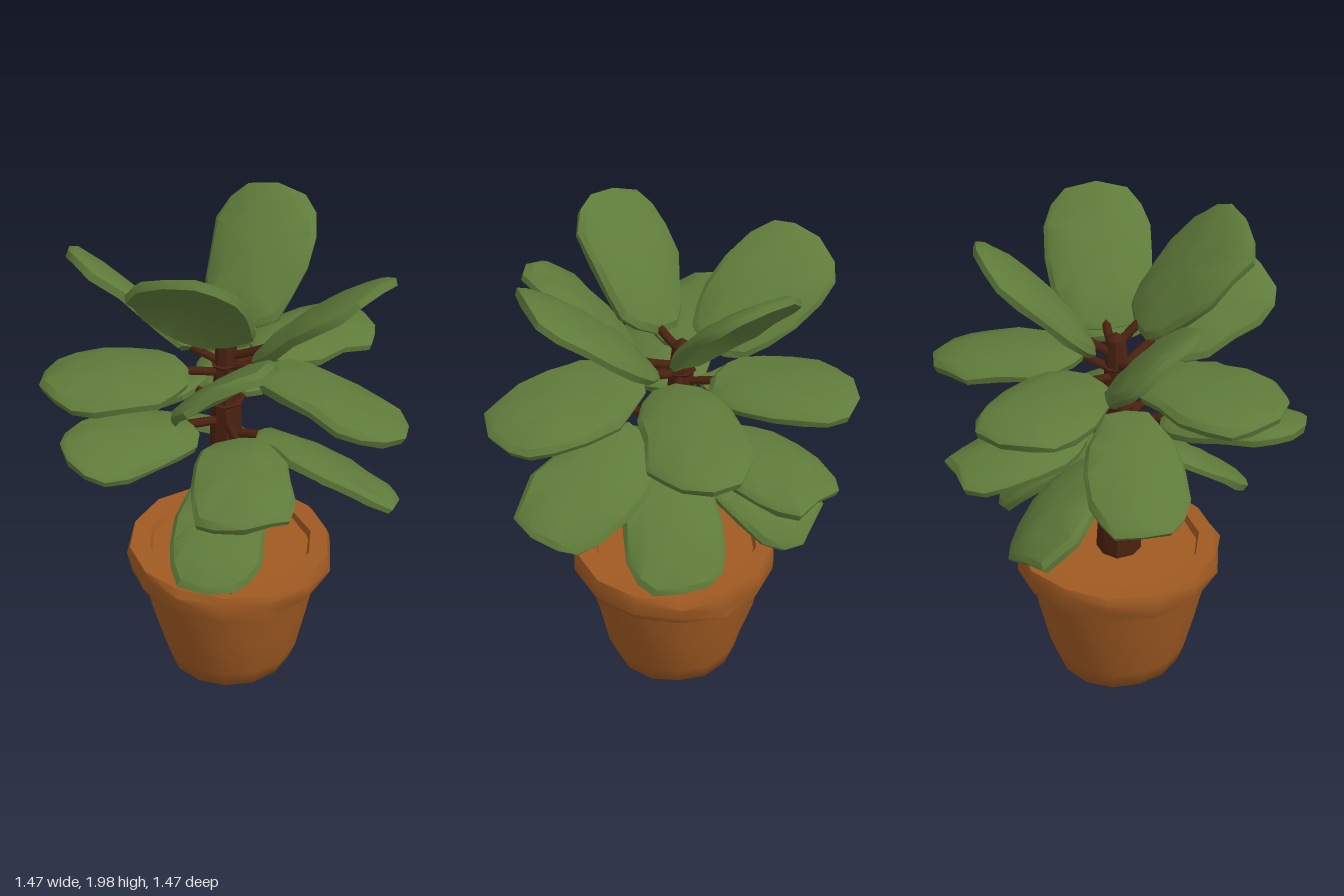
import * as THREE from 'three';
import { toCreasedNormals } from 'three/addons/utils/BufferGeometryUtils.js';

const V = (x, y, z) => new THREE.Vector3(x, y, z);

// Small seeded generator, returns -1..1
let seed = 7;
const rnd = () => {
  seed = (seed * 16807) % 2147483647;
  return (seed / 2147483647) * 2 - 1;
};

// Thick leaf slab: base at the origin, running along +x, upper face to +y
function leafGeometry(length, width) {
  const n = 16, pos = [], idx = [];
  const outline = [];
  for (let i = 0; i < n; i++) {
    const a = (i / n) * Math.PI * 2, s = Math.sin(a), c = Math.cos(a);
    const lobe = 1 + rnd() * 0.06;
    const t = 0.5 - 0.5 * Math.sign(c) * Math.pow(Math.abs(c), 0.9) * (i ? lobe : 1);
    const w = 0.5 * Math.sign(s) * Math.pow(Math.abs(s), 0.7) * (0.86 + 0.22 * t) * lobe;
    outline.push([t, w, rnd() * 0.008]);
  }
  // rings from the upper centre, over the rim, to the lower centre
  const rings = [[0, 0.012], [0.55, 0.016], [0.92, 0.016], [1, 0.002], [0.97, -0.026], [0.55, -0.018], [0, -0.02]];
  rings.forEach(([k, lift]) => outline.forEach(([t, w, wave]) => {
    const u = 0.5 + (t - 0.5) * k, v = w * k;
    const bend = 0.035 * Math.sin(Math.PI * Math.min(1, Math.max(0, u))) - 0.16 * v * v;
    const bump = k > 0 ? rnd() * 0.004 + wave * k : 0;
    pos.push(u * length, lift + bend + bump, v * width);
  }));
  for (let r = 0; r < rings.length - 1; r++) {
    for (let i = 0; i < n; i++) {
      const j = (i + 1) % n, a = r * n + i, b = (r + 1) * n + i, c = (r + 1) * n + j, d = r * n + j;
      if (r < rings.length - 2) idx.push(a, b, c);
      else idx.push(a, b, d);
      if (r > 0 && r < rings.length - 2) idx.push(a, c, d);
    }
  }
  const g = new THREE.BufferGeometry();
  g.setAttribute('position', new THREE.Float32BufferAttribute(pos, 3));
  g.setIndex(idx);
  return toCreasedNormals(g, 0.6);
}

// Lathe with slightly uneven, hand-shaped vertices
function roughLathe(points, sides, amount, crease) {
  const g = new THREE.LatheGeometry(points.map(([r, y]) => new THREE.Vector2(r, y)), sides);
  const p = g.attributes.position, rows = points.length;
  for (let j = 0; j < rows; j++) {
    for (let i = 0; i <= sides; i++) {
      const k = i * rows + j;
      if (i === sides) { p.setXYZ(k, p.getX(j), p.getY(j), p.getZ(j)); continue; }
      const f = 1 + rnd() * amount;
      p.setX(k, p.getX(k) * f);
      p.setZ(k, p.getZ(k) * f);
    }
  }
  g.deleteAttribute('uv');
  g.deleteAttribute('normal');
  return toCreasedNormals(g, crease);
}

// Centre line of the slightly leaning trunk
const trunkAt = (y) => V(-0.005 + 0.025 * Math.max(0, y - 1.1), y, -0.03 - 0.02 * (y - 0.5));

export function createModel() {
  seed = 7;
  const leafGreen = new THREE.MeshStandardMaterial({ color: 0x5f7b3a });
  leafGreen.name = 'leafGreen';
  const terracotta = new THREE.MeshStandardMaterial({ color: 0xa05a22 });
  terracotta.name = 'terracotta';
  const bark = new THREE.MeshStandardMaterial({ color: 0x4a2210 });
  bark.name = 'bark';

  const model = new THREE.Group();
  const add = (name, geometry, material, parent = model) => {
    const m = new THREE.Mesh(geometry, material);
    m.name = name;
    parent.add(m);
    return m;
  };

  // Pot body, thick rim and the filling inside
  const pot = new THREE.Group();
  pot.name = 'pot';
  pot.position.z = -0.025;
  model.add(pot);
  add('potBody', roughLathe([[0, 0], [0.258, 0], [0.285, 0.08], [0.33, 0.25], [0.375, 0.47]], 14, 0.02, 2), terracotta, pot);
  add('potRim', roughLathe([[0.36, 0.46], [0.41, 0.462], [0.422, 0.5], [0.422, 0.55], [0.412, 0.578], [0.335, 0.575], [0.32, 0.52]], 14, 0.02, 0.75), terracotta, pot);
  const soil = add('soil', new THREE.CircleGeometry(0.335, 14), terracotta, pot);
  soil.rotation.x = -Math.PI / 2;
  soil.position.y = 0.545;

  // Tapering trunk with collars of leaf scars
  const trunk = roughLathe([[0.092, 0.5], [0.086, 0.7], [0.074, 0.95], [0.062, 1.15], [0.05, 1.35], [0.038, 1.52], [0, 1.55]], 8, 0.07, 0.6);
  const tp = trunk.attributes.position;
  for (let i = 0; i < tp.count; i++) {
    const c = trunkAt(tp.getY(i));
    tp.setX(i, tp.getX(i) + c.x);
    tp.setZ(i, tp.getZ(i) + c.z);
  }
  add('trunk', trunk, bark);
  [[0.86, 0.084], [1.24, 0.08], [1.4, 0.06]].forEach(([y, r]) => {
    const collar = add('leafScar', new THREE.CylinderGeometry(r, r * 0.8, 0.015, 7), bark);
    collar.position.copy(trunkAt(y));
    collar.rotation.z = 0.05;
  });

  // One leaf on its stalk; up is the direction the upper face leans to
  const addLeaf = (base, tip, width, up = V(0, 1, 0)) => {
    const dir = tip.clone().sub(base);
    const length = dir.length();
    dir.normalize();
    const normal = up.clone().addScaledVector(dir, -up.dot(dir)).normalize();
    const side = dir.clone().cross(normal);
    const leaf = add('leaf', leafGeometry(length, width), leafGreen);
    leaf.applyMatrix4(new THREE.Matrix4().makeBasis(dir, normal, side).setPosition(base));

    const root = trunkAt(base.y - 0.05);
    const curve = new THREE.QuadraticBezierCurve3(root, base.clone().lerp(root, 0.4), base.clone().addScaledVector(dir, 0.05));
    add('stalk', new THREE.TubeGeometry(curve, 4, 0.018, 6), bark);
  };

  // Raised leaves around the top
  addLeaf(V(-0.06, 1.54, 0.02), V(-0.47, 1.98, 0.09), 0.43, V(0, 1, -0.25));
  addLeaf(V(0.06, 1.48, 0.09), V(0.14, 1.89, 0.56), 0.44);
  addLeaf(V(0.09, 1.5, -0.08), V(0.48, 1.94, -0.21), 0.43);
  addLeaf(V(-0.07, 1.45, -0.16), V(-0.21, 1.77, -0.67), 0.4, V(0.75, 1, 0));
  addLeaf(V(-0.1, 1.42, 0.12), V(-0.54, 1.66, 0.38), 0.42, V(0, 1, -0.8));
  // Level leaves
  addLeaf(V(-0.14, 1.41, -0.11), V(-0.62, 1.42, -0.42), 0.46);
  addLeaf(V(0.12, 1.42, 0.01), V(0.73, 1.37, 0.05), 0.4);
  addLeaf(V(0.05, 1.44, 0.12), V(0.13, 1.33, 0.73), 0.41, V(0.2, 1, 0));
  addLeaf(V(0.09, 1.4, -0.14), V(0.36, 1.4, -0.63), 0.44);
  // Middle leaves
  addLeaf(V(-0.17, 1.2, -0.07), V(-0.73, 1.25, -0.17), 0.37, V(0, 1, 0.12));
  addLeaf(V(-0.12, 1.19, 0.13), V(-0.46, 1.1, 0.47), 0.4);
  addLeaf(V(0.12, 1.18, -0.15), V(0.59, 1.11, -0.42), 0.38);
  addLeaf(V(-0.04, 1.27, -0.16), V(-0.16, 1.08, -0.73), 0.38);
  // Drooping leaves
  addLeaf(V(0.03, 1.14, 0.1), V(0.27, 0.93, 0.62), 0.4, V(0.55, 1, 0.1));
  addLeaf(V(0.07, 1.05, 0.04), V(0.51, 0.7, 0.09), 0.41);
  addLeaf(V(-0.06, 1.02, 0.06), V(-0.47, 0.72, 0.28), 0.38, V(0, 1, 0.15));
  addLeaf(V(0.06, 1.04, -0.12), V(0.32, 0.78, -0.52), 0.38, V(0.45, 1, 0));

  return model;
}
